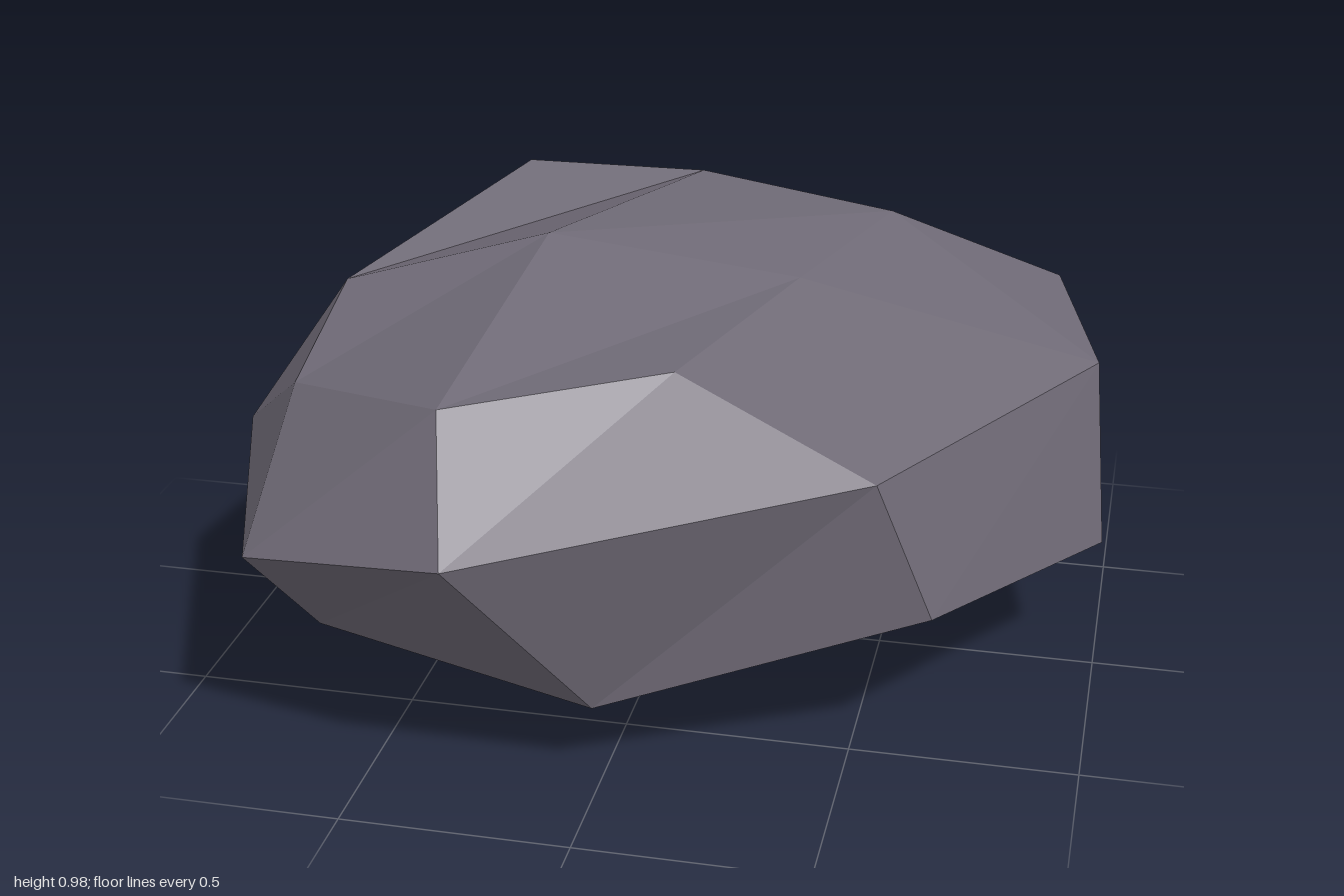
import * as THREE from 'three';

// Corner positions of the boulder as three layers (bottom, waist, top).
// Each layer runs back to front, and -x to +x within a row.
const layers = [
  [
    [[-0.38, 0.16, -0.49], [0.33, 0.16, -0.64], [0.91, 0.33, -0.57]],
    [[-0.70, 0.04, 0.10], [0.21, 0.00, 0.06], [1.00, 0.30, -0.03]],
    [[-0.65, 0.26, 0.65], [-0.02, 0.17, 0.73], [0.67, 0.35, 0.52]],
  ],
  [
    [[-0.51, 0.56, -0.66], [0.23, 0.62, -0.97], [0.83, 0.68, -0.75]],
    [[-1.00, 0.49, 0.11], [0, 0.5, 0], [0.96, 0.71, -0.11]],
    [[-0.75, 0.49, 0.81], [-0.27, 0.58, 0.96], [0.55, 0.68, 0.58]],
  ],
  [
    [[-0.49, 0.95, -0.57], [-0.08, 0.90, -0.73], [0.42, 0.87, -0.60]],
    [[-0.75, 0.85, 0.09], [-0.28, 0.98, 0.04], [0.28, 0.88, -0.06]],
    [[-0.75, 0.74, 0.45], [-0.33, 0.84, 0.75], [0.11, 0.86, 0.50]],
  ],
];

export function createModel() {
  const model = new THREE.Group();
  model.name = 'rock';

  const stone = new THREE.MeshStandardMaterial({ color: 0x6f6a76 });
  stone.name = 'purple grey stone';

  // Boulder: a 2 x 2 x 2 block with every grid corner moved to its place
  const geometry = new THREE.BoxGeometry(2, 2, 2, 2, 2, 2).toNonIndexed();
  const position = geometry.attributes.position;
  for (let i = 0; i < position.count; i++) {
    const [x, y, z] = [position.getX(i), position.getY(i), position.getZ(i)].map((v) => Math.round(v) + 1);
    position.setXYZ(i, ...layers[y][z][x]);
  }
  geometry.computeVertexNormals(); // unshared corners give flat facets

  const boulder = new THREE.Mesh(geometry, stone);
  boulder.name = 'boulder';
  model.add(boulder);
  return model;
}
